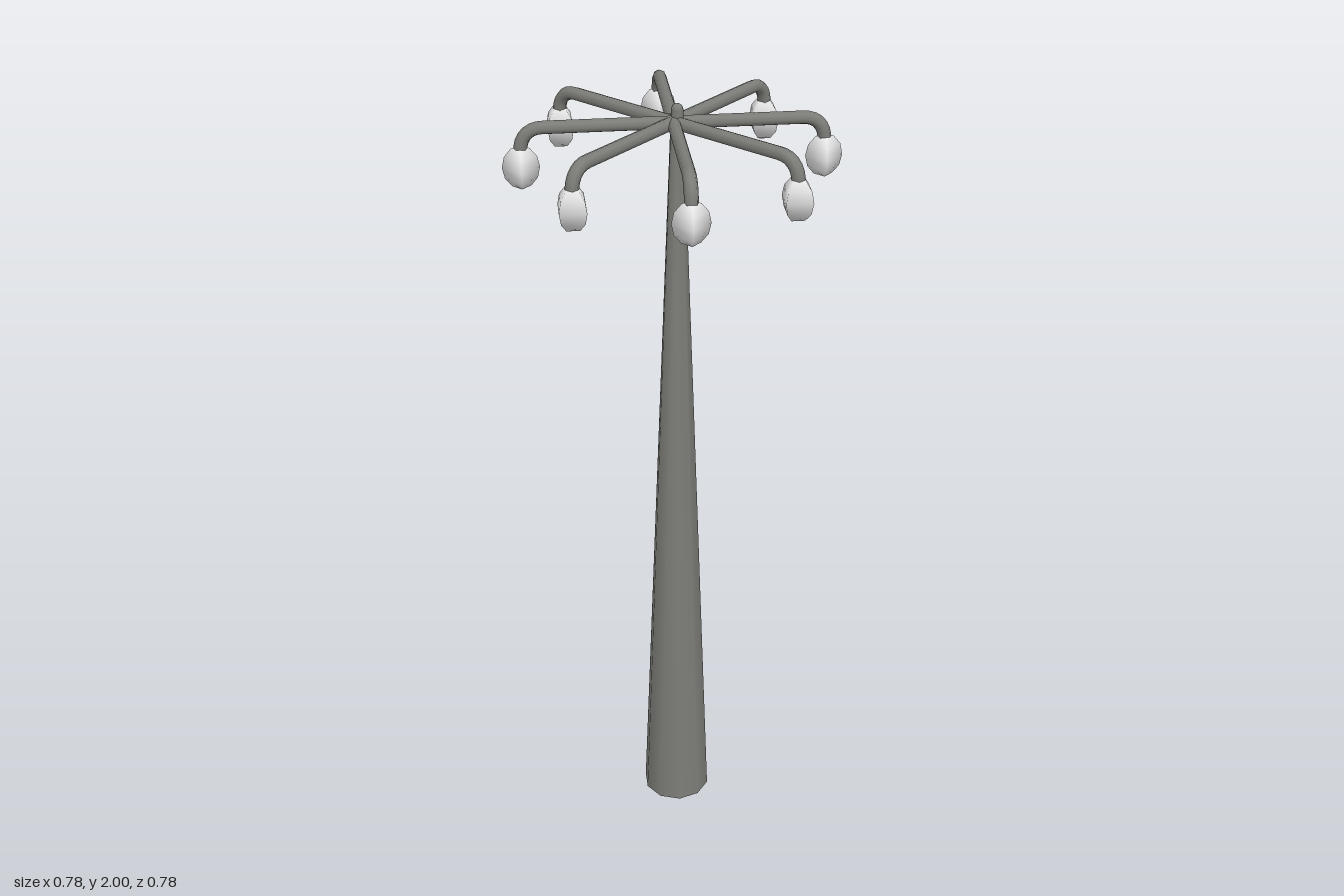
import * as THREE from 'three';

export function createModel() {
  const group = new THREE.Group();
  const metal = new THREE.MeshStandardMaterial({ color: 0x7c7c78, side: THREE.DoubleSide });
  metal.name = 'grey metal';
  const glass = new THREE.MeshStandardMaterial({ color: 0xe4e4e4 });
  glass.name = 'pale glass';

  const add = (parent, name, geometry, material) => {
    const mesh = new THREE.Mesh(geometry, material);
    mesh.name = name;
    parent.add(mesh);
    return mesh;
  };

  // Tapered mast, open at the foot, with a small rounded tip
  const mast = add(group, 'mast', new THREE.CylinderGeometry(0.014, 0.089, 1.99, 10, 1, true), metal);
  mast.position.set(0.008, 0.995, 0);
  const tip = add(group, 'mastTip', new THREE.SphereGeometry(0.014, 10, 4, 0, Math.PI * 2, 0, Math.PI / 2), metal);
  tip.position.set(0.008, 1.987, 0);

  // Arm path: straight out, then a quarter bend down into the lamp
  const path = new THREE.CurvePath();
  const v = (x, y) => new THREE.Vector3(x, y, 0);
  path.add(new THREE.LineCurve3(v(0, 1.957), v(0.295, 1.957)));
  path.add(new THREE.CubicBezierCurve3(v(0.295, 1.957), v(0.325, 1.957), v(0.346, 1.938), v(0.346, 1.9)));
  const armGeometry = new THREE.TubeGeometry(path, 30, 0.0157, 8);

  // Four-sided lamp with its corners along and across the arm
  const lampGeometry = new THREE.SphereGeometry(0.043, 4, 6);
  lampGeometry.scale(1, 1.2, 1);

  for (let i = 0; i < 8; i++) {
    const branch = new THREE.Group();
    branch.name = 'branch' + (i + 1);
    branch.rotation.y = (i * Math.PI) / 4;
    add(branch, 'arm', armGeometry, metal);
    add(branch, 'lamp', lampGeometry, glass).position.set(0.346, 1.865, 0);
    group.add(branch);
  }
  return group;
}
